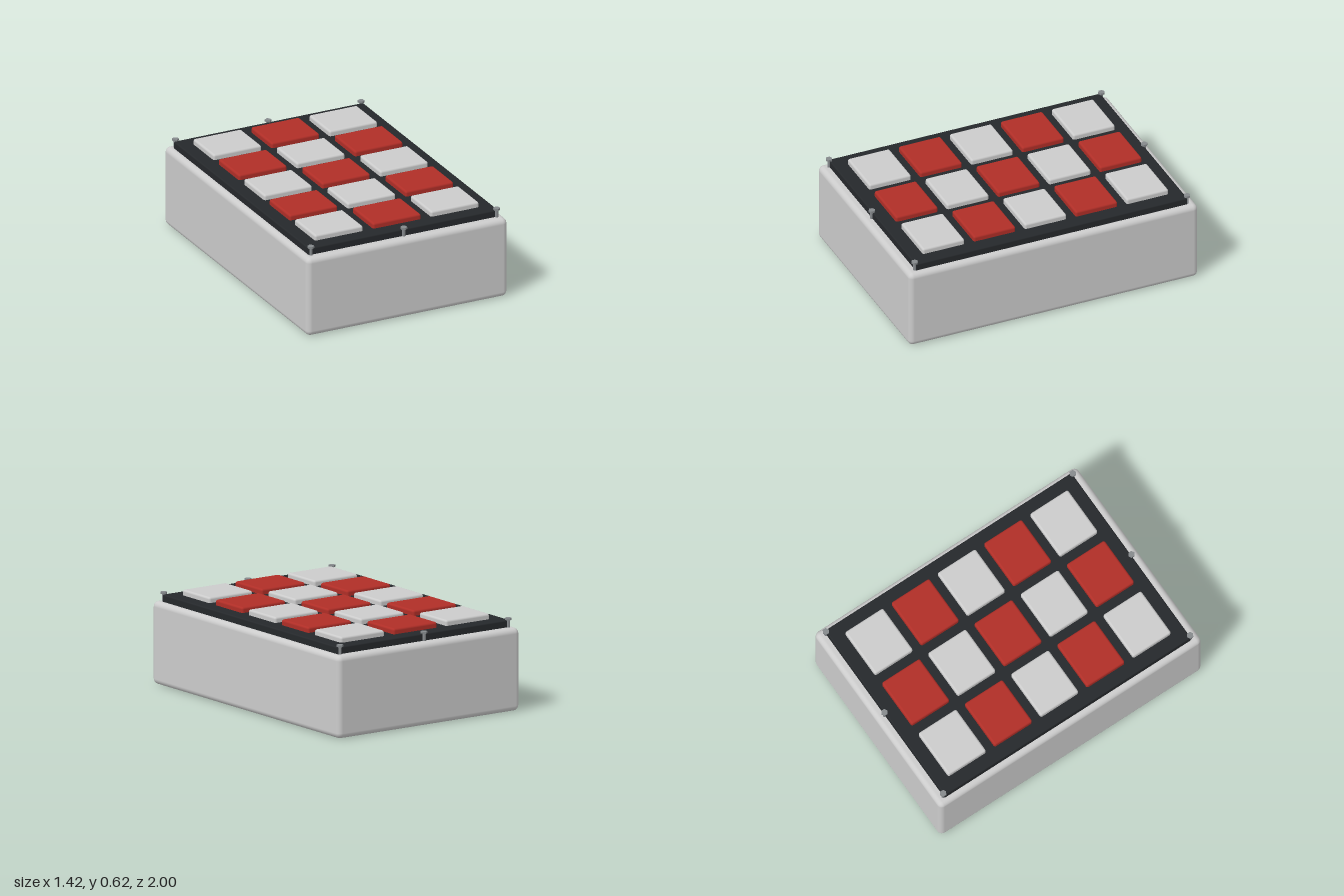
import * as THREE from 'three';
import { RoundedBoxGeometry } from 'three/addons/geometries/RoundedBoxGeometry.js';

export function createModel() {
  const model = new THREE.Group();
  model.name = 'buttonPad';

  const grey = new THREE.MeshStandardMaterial({ color: 0xcccccc });
  const red = new THREE.MeshStandardMaterial({ color: 0xb02e27 });
  const black = new THREE.MeshStandardMaterial({ color: 0x25282b });
  const steel = new THREE.MeshStandardMaterial({ color: 0x85898c, flatShading: true });

  // Rounded block spanning the heights bottom to top
  function block(name, parent, material, size, [bottom, top], radius, x = 0, z = 0) {
    const geometry = new RoundedBoxGeometry(size[0], top - bottom, size[1], 3, radius);
    const mesh = new THREE.Mesh(geometry, material);
    mesh.name = name;
    mesh.position.set(x, (bottom + top) / 2, z);
    parent.add(mesh);
  }

  // Housing and face plate
  block('housing', model, grey, [1.42, 2], [0, 0.535], 0.035);
  block('facePlate', model, black, [1.34, 1.88], [0.525, 0.581], 0.009);

  // Buttons in a checkerboard of three columns and five rows
  const buttons = new THREE.Group();
  buttons.name = 'buttons';
  model.add(buttons);
  for (let row = -2; row <= 2; row++) {
    for (let col = -1; col <= 1; col++) {
      const material = (row + col) % 2 === 0 ? red : grey;
      block('button', buttons, material, [0.34, 0.29], [0.56, 0.617], 0.014, col * 0.41, row * 0.3525);
    }
  }

  // Hexagonal screws along the front and back edges
  const headGeometry = new THREE.CylinderGeometry(0.022, 0.022, 0.013, 6);
  const shankGeometry = new THREE.CylinderGeometry(0.011, 0.011, 0.07, 8);
  for (const x of [-0.657, 0, 0.657]) {
    for (const z of [-0.942, 0.942]) {
      const screw = new THREE.Group();
      screw.name = 'screw';
      const head = new THREE.Mesh(headGeometry, steel);
      head.name = 'screwHead';
      head.position.y = 0.5905;
      const shank = new THREE.Mesh(shankGeometry, steel);
      shank.name = 'screwShank';
      shank.position.y = 0.555;
      screw.add(head, shank);
      screw.position.set(x, 0, z);
      model.add(screw);
    }
  }

  return model;
}
